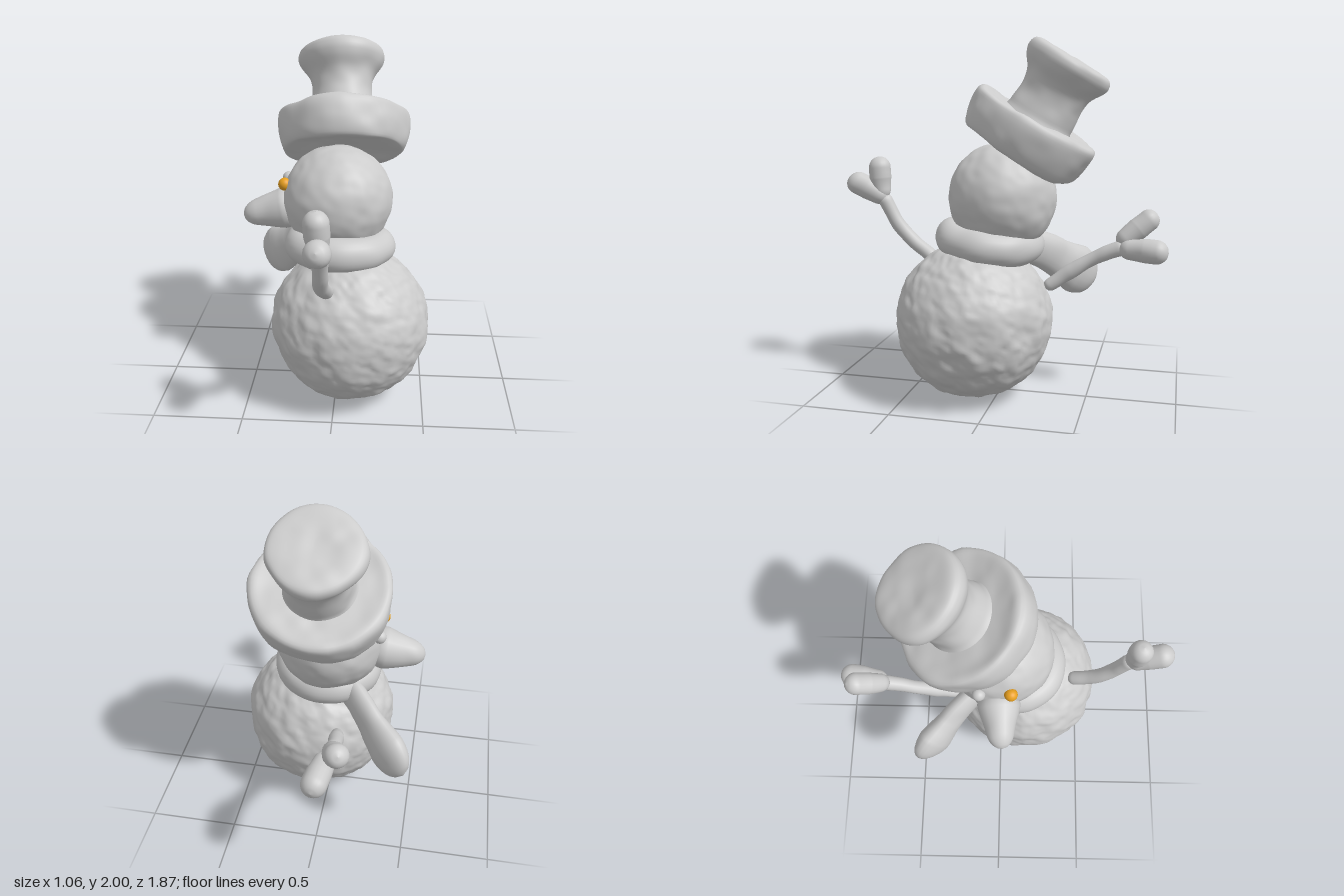
import * as THREE from 'three';
import { mergeVertices } from 'three/addons/utils/BufferGeometryUtils.js';

const V = (x, y, z) => new THREE.Vector3(x, y, z);
const snow = new THREE.MeshStandardMaterial({ color: 0xcccccc });
const gold = new THREE.MeshStandardMaterial({ color: 0xe8a020 });

// Smooth 3D value noise in the range -1..1
function hash(x, y, z) {
  const s = Math.sin(x * 127.1 + y * 311.7 + z * 74.7) * 43758.5453;
  return (s - Math.floor(s)) * 2 - 1;
}
function noise(p, f) {
  const q = p.clone().multiplyScalar(f);
  const i = q.clone().floor();
  const w = q.sub(i).toArray().map(t => t * t * (3 - 2 * t));
  let sum = 0;
  for (let c = 0; c < 8; c++) {
    const b = [c & 1, (c >> 1) & 1, c >> 2];
    const k = b.reduce((a, bit, n) => a * (bit ? w[n] : 1 - w[n]), 1);
    sum += k * hash(i.x + b[0], i.y + b[1], i.z + b[2]);
  }
  return sum;
}

// Weld the seams, push the surface along its normals by layered noise, smooth it again
function lumpy(geo, ...layers) {
  geo.deleteAttribute('uv');
  geo.deleteAttribute('normal');
  const g = mergeVertices(geo, 1e-4);
  g.computeVertexNormals();
  const pos = g.attributes.position, nor = g.attributes.normal;
  const p = V(), n = V();
  for (let i = 0; i < pos.count; i++) {
    p.fromBufferAttribute(pos, i);
    n.fromBufferAttribute(nor, i);
    const d = layers.reduce((s, [freq, amp]) => s + amp * noise(p, freq), 0);
    p.addScaledVector(n, d);
    pos.setXYZ(i, p.x, p.y, p.z);
  }
  g.computeVertexNormals();
  return g;
}

// Rounded sweep through points with changing radius; flat = [direction, factor] squashes it
function sweep(points, radii, flat) {
  const curve = new THREE.CatmullRomCurve3(points);
  const segs = 48, sides = 20, len = curve.getLength();
  const geo = new THREE.TubeGeometry(curve, segs, 1, sides, false);
  const pos = geo.attributes.position, p = V();
  for (let i = 0; i < pos.count; i++) {
    const t = Math.floor(i / (sides + 1)) / segs;
    const c = curve.getPointAt(t);
    const u = t * (radii.length - 1), k = Math.min(Math.floor(u), radii.length - 2);
    let r = THREE.MathUtils.lerp(radii[k], radii[k + 1], u - k);
    const toEnd = Math.min(t, 1 - t) * len / r;
    if (toEnd < 1) r *= Math.sqrt(1 - (1 - toEnd) ** 2);
    p.fromBufferAttribute(pos, i).sub(c).multiplyScalar(Math.max(r, 0.0005));
    if (flat) p.addScaledVector(flat[0], p.dot(flat[0]) * (flat[1] - 1));
    p.add(c);
    pos.setXYZ(i, p.x, p.y, p.z);
  }
  return lumpy(geo, [12, 0.004]);
}

export function createModel() {
  const model = new THREE.Group();
  model.name = 'snowman';
  const add = (name, geo, mat = snow, parent = model) => {
    const m = new THREE.Mesh(geo, mat);
    m.name = name;
    parent.add(m);
    return m;
  };

  // Snowballs
  add('body', lumpy(new THREE.SphereGeometry(0.44, 128, 96), [7, 0.006], [17, 0.009], [34, 0.004]))
    .position.set(0.08, 0.445, 0.135);
  add('head', lumpy(new THREE.SphereGeometry(0.303, 80, 60), [8, 0.005], [20, 0.004]))
    .position.set(0, 1.13, -0.012);

  // Scarf ring and its flat hanging end
  const ring = new THREE.TorusGeometry(0.215, 0.095, 28, 80).rotateX(Math.PI / 2);
  const scarf = add('scarf', lumpy(ring, [8, 0.008]));
  scarf.position.set(0.015, 0.885, 0.06);
  scarf.rotation.set(-0.11, 0, -0.03);
  add('scarfEnd', sweep(
    [V(-0.08, 0.86, -0.06), V(-0.22, 0.79, -0.22), V(-0.34, 0.69, -0.34), V(-0.48, 0.575, -0.475)],
    [0.1, 0.105, 0.115, 0.15, 0.14], [V(1, 0, -1).normalize(), 0.55]));

  // Face, looking towards -x
  add('nose', sweep([V(-0.2, 1.09, -0.015), V(-0.36, 1.06, -0.005), V(-0.53, 1.035, 0.015)],
    [0.13, 0.115, 0.085, 0.055]));
  const eyes = [['leftEye', -0.285, 1.215, -0.115, snow], ['rightEye', -0.288, 1.232, 0.055, gold]];
  for (const [name, x, y, z, mat] of eyes)
    add(name, new THREE.SphereGeometry(0.036, 24, 16), mat).position.set(x, y, z);

  // Twig arms, each with two blunt fingers
  const arms = [
    ['frontArm',
      [V(-0.03, 0.75, 0.4), V(-0.05, 0.85, 0.54), V(-0.045, 0.95, 0.63), V(-0.04, 1.12, 0.72)],
      [V(-0.04, 1.09, 0.69), V(-0.04, 1.15, 0.8), V(-0.04, 1.21, 0.93)],
      [V(-0.04, 1.09, 0.715), V(-0.05, 1.2, 0.735), V(-0.055, 1.34, 0.745)]],
    ['backArm',
      [V(-0.08, 0.6, -0.24), V(-0.1, 0.71, -0.4), V(-0.11, 0.8, -0.55), V(-0.11, 0.86, -0.7)],
      [V(-0.1, 0.845, -0.66), V(-0.08, 0.845, -0.79), V(-0.06, 0.84, -0.935)],
      [V(-0.115, 0.87, -0.65), V(-0.15, 0.95, -0.75), V(-0.185, 1.04, -0.86)]],
  ];
  for (const [name, arm, fingerA, fingerB] of arms) {
    const group = new THREE.Group();
    group.name = name;
    model.add(group);
    add('twig', sweep(arm, [0.037, 0.042, 0.04, 0.043]), snow, group);
    add('lowerFinger', sweep(fingerA, [0.05, 0.066, 0.068]), snow, group);
    add('upperFinger', sweep(fingerB, [0.045, 0.064, 0.062]), snow, group);
  }

  // Tilted hat: thick brim and a flared crown
  const hat = new THREE.Group();
  hat.name = 'hat';
  hat.position.set(0.02, 1.475, -0.16);
  hat.rotation.set(-0.53, 0, 0.04);
  model.add(hat);
  const turn = profile => {
    const path = new THREE.SplineCurve(profile.map(([x, y]) => new THREE.Vector2(x, y)));
    const pts = path.getSpacedPoints(64);
    pts.forEach(p => { p.x = Math.max(p.x, 0); });
    pts[0].x = 0;
    pts[64].x = 0;
    return new THREE.LatheGeometry(pts, 72);
  };
  add('brim', lumpy(turn([[0, -0.1], [0.2, -0.105], [0.31, -0.115], [0.345, -0.09], [0.365, 0],
    [0.365, 0.08], [0.34, 0.11], [0.25, 0.105], [0, 0.1]]), [5, 0.018], [14, 0.005]), snow, hat);
  add('crown', lumpy(turn([[0, 0.05], [0.19, 0.06], [0.185, 0.13], [0.173, 0.24], [0.185, 0.32],
    [0.228, 0.39], [0.24, 0.435], [0.215, 0.475], [0.1, 0.485], [0, 0.485]]),
    [5, 0.014], [14, 0.004]), snow, hat);

  return model;
}
